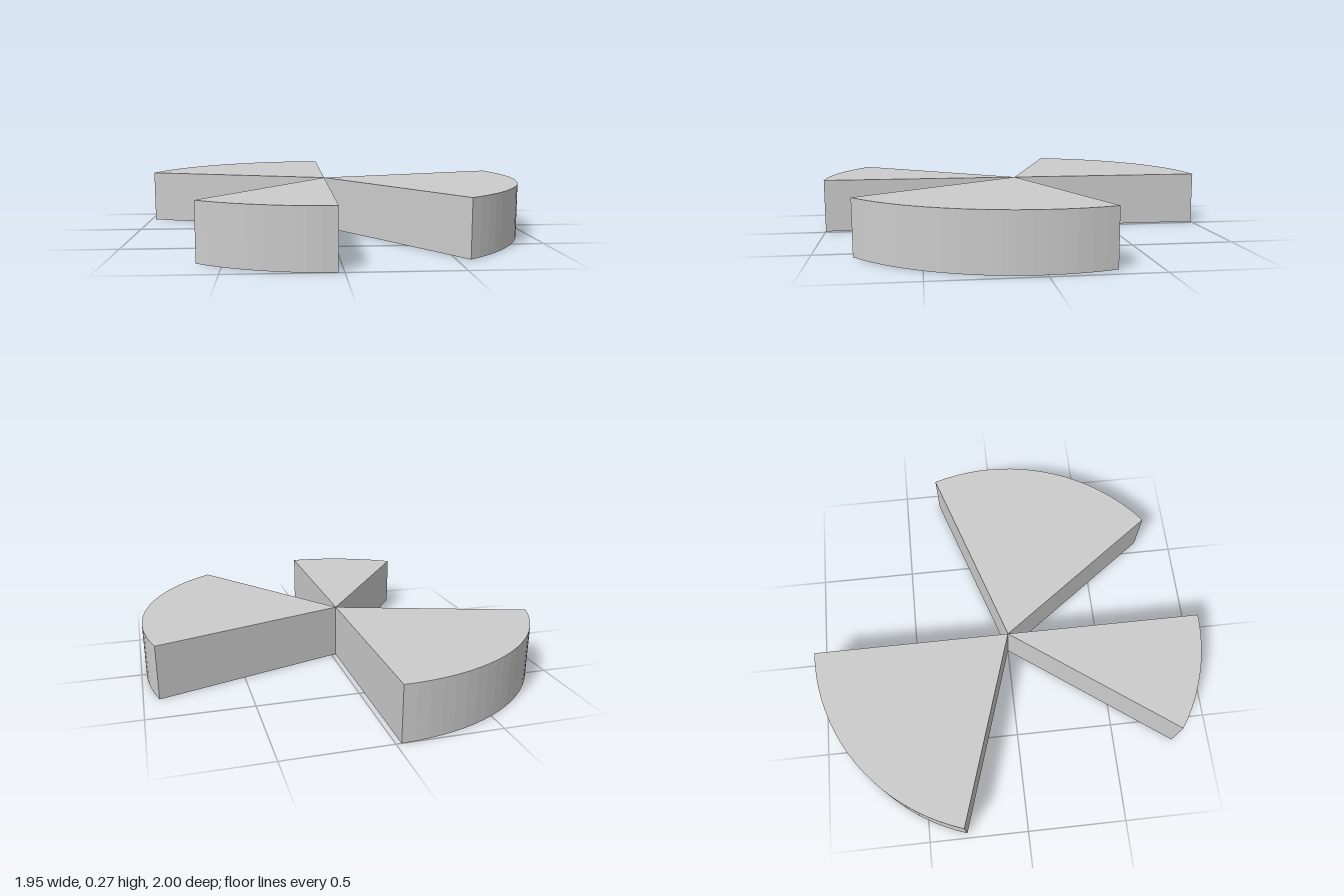
import * as THREE from 'three';

const RADIUS = 1;
const HEIGHT = 0.27;
const STEP = 3.6; // degrees per rim facet

// Pie slice between two angles (degrees, counter-clockwise seen from above)
function wedge(name, from, to, material) {
  const start = THREE.MathUtils.degToRad(from);
  const end = THREE.MathUtils.degToRad(to);
  const shape = new THREE.Shape();
  shape.moveTo(0, 0);
  shape.lineTo(RADIUS * Math.cos(start), RADIUS * Math.sin(start));
  shape.absarc(0, 0, RADIUS, start, end, false);
  shape.lineTo(0, 0);
  const geometry = new THREE.ExtrudeGeometry(shape, {
    depth: HEIGHT,
    bevelEnabled: false,
    curveSegments: Math.round((to - from) / STEP / 2), // arcs get two facets per segment
  });
  geometry.rotateX(-Math.PI / 2);
  const mesh = new THREE.Mesh(geometry, material);
  mesh.name = name;
  return mesh;
}

export function createModel() {
  const group = new THREE.Group();
  group.name = 'pieWedges';
  const material = new THREE.MeshStandardMaterial({ color: 0xcccccc, flatShading: true });

  // Three slices meeting at one hub line, slightly off centre in x
  const slices = [
    ['backWedge', 90, 162],
    ['sideWedge', -54, 18],
    ['frontWedge', 234, 270],
  ];
  for (const [name, from, to] of slices) {
    const slice = wedge(name, from, to, material);
    slice.position.x = -0.025;
    group.add(slice);
  }
  return group;
}
